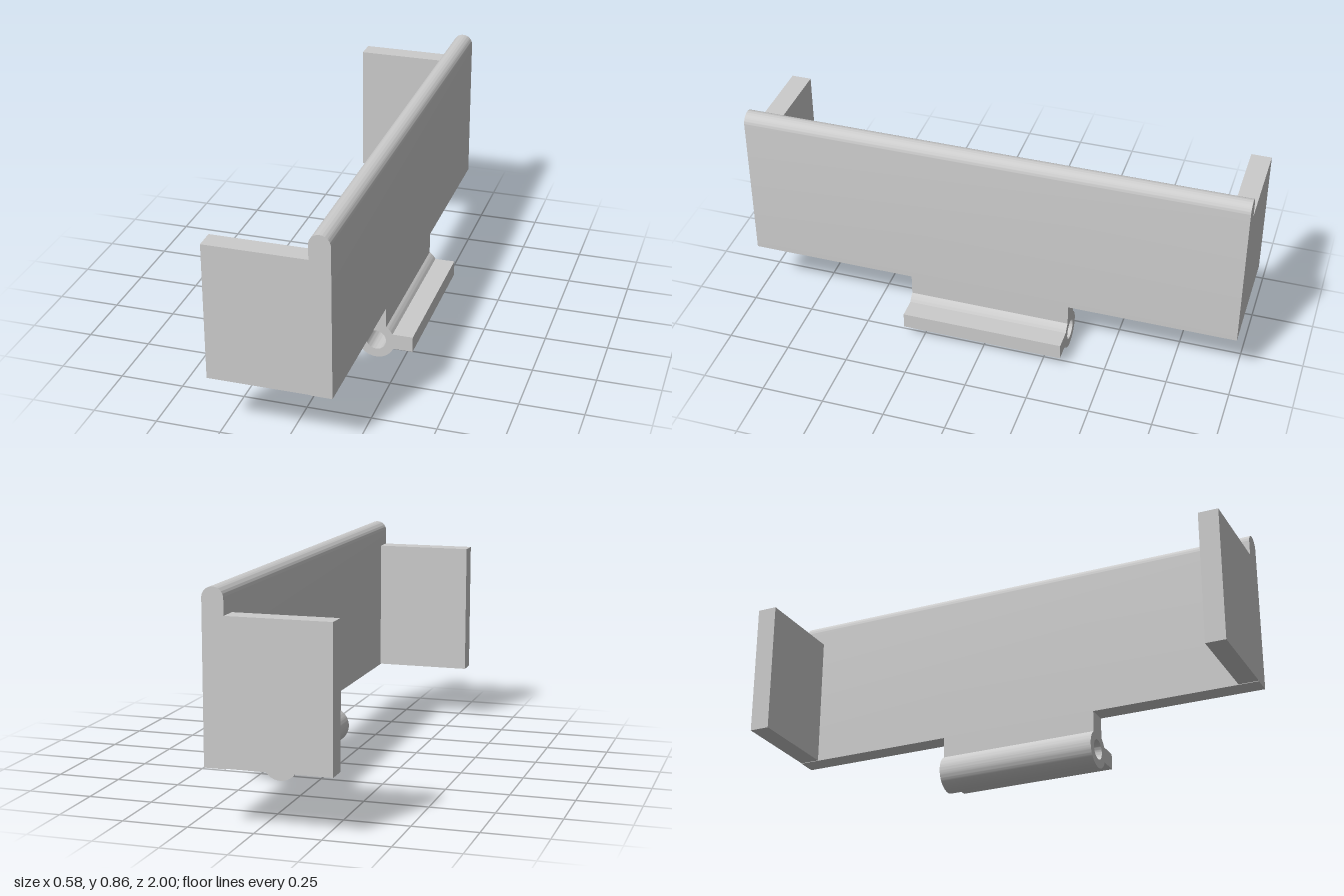
import * as THREE from 'three';
import { toCreasedNormals } from 'three/addons/utils/BufferGeometryUtils.js';

const material = new THREE.MeshStandardMaterial({ color: 0xcccccc });
const CX = 0.142;          // centre line of panel and hinge
const HALF = 0.0405;       // half the panel thickness
const PANEL_BOTTOM = 0.223;

// Extrude a profile along z, centred on z = 0
function extrude(name, shape, length) {
  const geometry = new THREE.ExtrudeGeometry(shape, { depth: length, bevelEnabled: false, curveSegments: 32 });
  geometry.translate(0, 0, -length / 2);
  const mesh = new THREE.Mesh(toCreasedNormals(geometry, 0.4), material);
  mesh.name = name;
  return mesh;
}

// Long upright panel with a rounded top edge
function panelShape() {
  const s = new THREE.Shape();
  s.moveTo(CX - HALF, PANEL_BOTTOM);
  s.lineTo(CX + HALF, PANEL_BOTTOM);
  s.absarc(CX, 0.865 - HALF, HALF, 0, Math.PI, false);
  s.closePath();
  return s;
}

// Hinge barrel with a neck up to the panel and a tab to the side
function hingeShape() {
  const r = 0.075, cy = 0.075, tabEnd = 0.29, tabTop = 0.11, tabBottom = 0.046;
  const neck = Math.acos(HALF / r);
  const s = new THREE.Shape();
  s.moveTo(tabEnd, tabBottom);
  s.lineTo(tabEnd, tabTop);
  s.absarc(CX, cy, r, Math.asin((tabTop - cy) / r), neck, false);
  s.lineTo(CX + HALF, PANEL_BOTTOM);
  s.lineTo(CX - HALF, PANEL_BOTTOM);
  s.absarc(CX, cy, r, Math.PI - neck, 2 * Math.PI + Math.asin((tabBottom - cy) / r), false);
  s.closePath();
  const hole = new THREE.Path();
  hole.absarc(CX, cy + 0.001, 0.0405, 0, 2 * Math.PI, true);
  s.holes.push(hole);
  return s;
}

export function createModel() {
  const group = new THREE.Group();
  group.name = 'hingedBracket';
  group.add(extrude('panel', panelShape(), 2));
  group.add(extrude('hinge', hingeShape(), 0.654));

  // End wings, one at the front and one at the back
  const left = -0.292, right = CX - HALF, bottom = 0.225, top = 0.765, thickness = 0.08;
  for (const side of [1, -1]) {
    const wing = new THREE.Mesh(new THREE.BoxGeometry(right - left, top - bottom, thickness), material);
    wing.name = side > 0 ? 'frontWing' : 'backWing';
    wing.position.set((left + right) / 2, (bottom + top) / 2, side * (1 - thickness / 2));
    group.add(wing);
  }
  return group;
}
